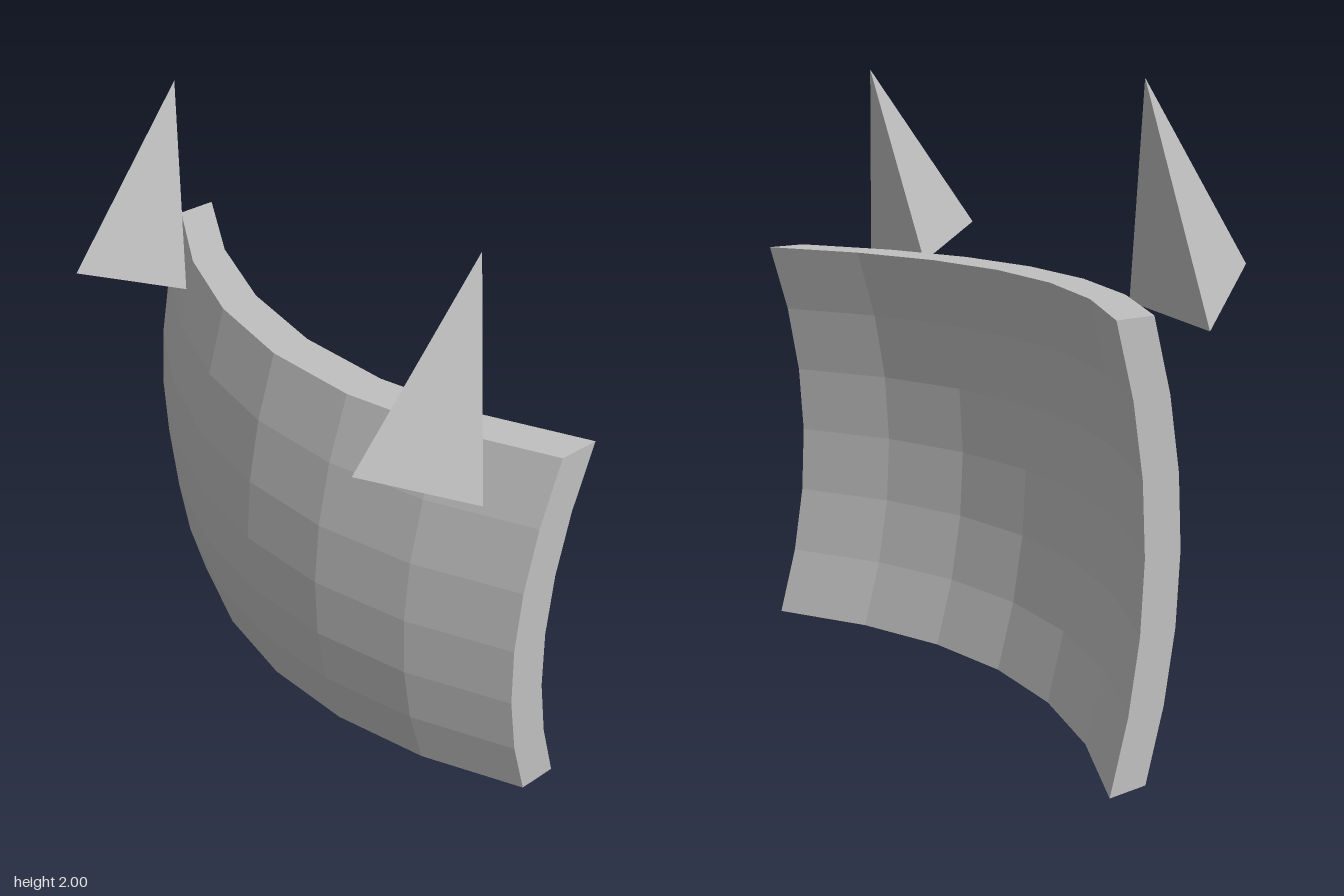
import * as THREE from 'three';
import { ConvexGeometry } from 'three/addons/geometries/ConvexGeometry.js';

const WIDTH = 1.9, HEIGHT = 1.375, THICKNESS = 0.135;

// Plate bowed backward towards its sides, top and bottom
function platedGeometry() {
  const geometry = new THREE.BoxGeometry(WIDTH, HEIGHT, THICKNESS, 6, 6, 1);
  const p = geometry.attributes.position;
  for (let i = 0; i < p.count; i++) {
    const u = p.getX(i) / (WIDTH / 2);
    const v = p.getY(i) / (HEIGHT / 2);
    p.setZ(i, p.getZ(i) + 0.136 - 0.31 * u * u - 0.117 * v * v);
  }
  geometry.translate(0, HEIGHT / 2, 0);
  geometry.computeVertexNormals();
  return geometry;
}

// Three-sided spike leaning back; side is +1 for left, -1 for right
function spikeGeometry(side) {
  return new ConvexGeometry([
    new THREE.Vector3(side * 0.72, 2.0, -0.067), // tip
    new THREE.Vector3(side * 0.71, 1.44, 0.363), // front corner
    new THREE.Vector3(side * 0.55, 1.335, 0.037), // inner corner
    new THREE.Vector3(side * 0.9, 1.295, 0.035), // outer corner
  ]);
}

export function createModel() {
  const model = new THREE.Group();
  const grey = new THREE.MeshStandardMaterial({ color: 0xc0c0c0, flatShading: true });
  grey.name = 'grey';

  const add = (name, geometry) => {
    const mesh = new THREE.Mesh(geometry, grey);
    mesh.name = name;
    model.add(mesh);
  };

  add('curvedPlate', platedGeometry());
  add('leftSpike', spikeGeometry(1));
  add('rightSpike', spikeGeometry(-1));
  return model;
}
